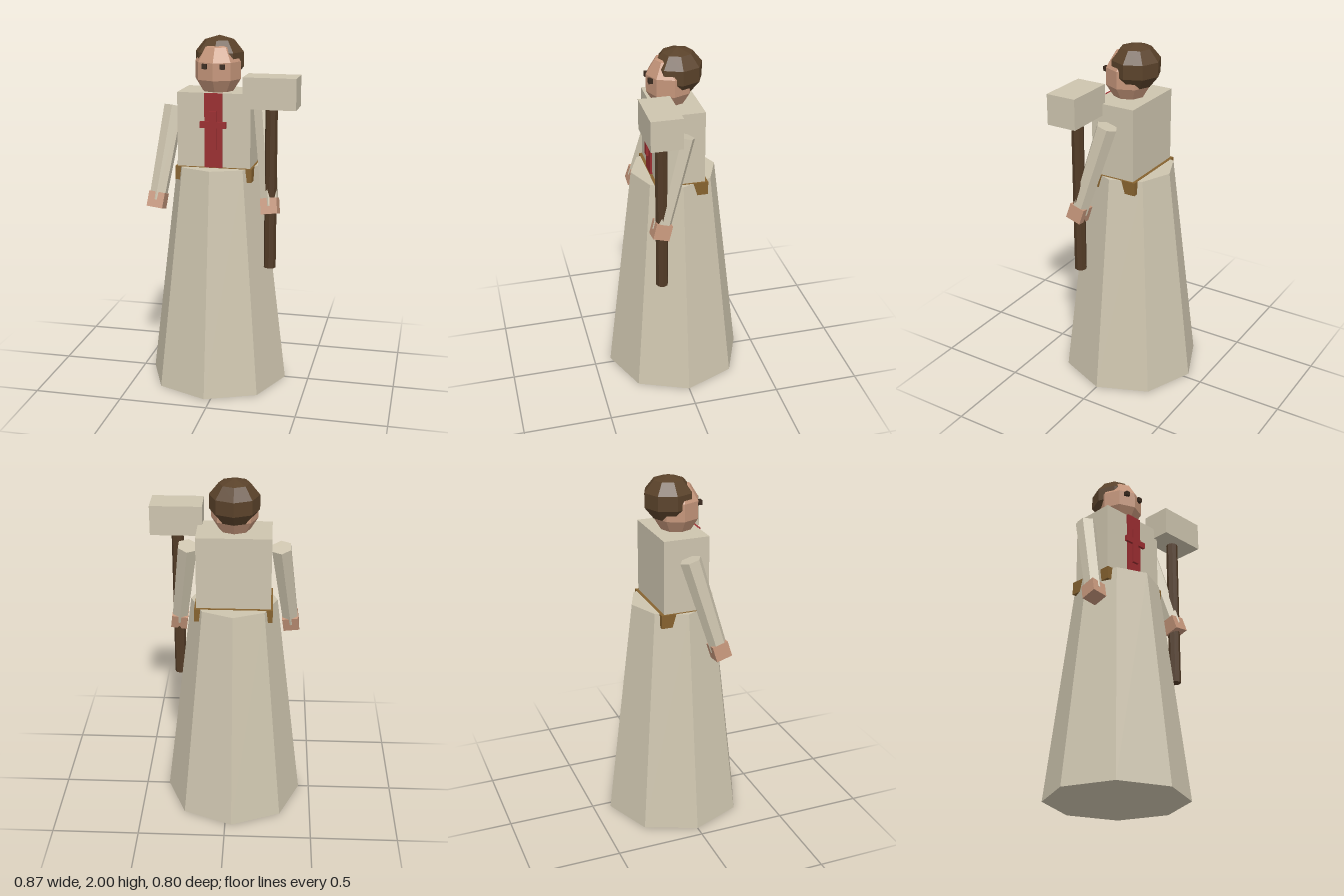
import * as THREE from 'three';

const CX = -0.037; // body centre line

export function createModel() {
  const model = new THREE.Group();
  model.name = 'robedHammerBearer';

  const paint = (name, color) => {
    const m = new THREE.MeshStandardMaterial({ color, flatShading: true });
    m.name = name;
    return m;
  };
  const cloth = paint('paleCloth', 0xcdc4ae);
  const skin = paint('skin', 0xc4957a);
  const hairBrown = paint('hairBrown', 0x5a422a);
  const wood = paint('darkWood', 0x523b26);
  const leather = paint('beltLeather', 0x86622f);
  const red = paint('red', 0x9a2d30);
  const dark = paint('eyeDark', 0x3a2a1e);

  const add = (name, geometry, material, x, y, z) => {
    const mesh = new THREE.Mesh(geometry, material);
    mesh.name = name;
    mesh.position.set(x, y, z);
    model.add(mesh);
    return mesh;
  };
  const box = (name, material, w, h, d, x, y, z) =>
    add(name, new THREE.BoxGeometry(w, h, d), material, x, y, z);

  // Robe, belt and torso
  add('skirt', new THREE.CylinderGeometry(0.243, 0.4, 1.285, 8), cloth, CX, 0.6425, 0);
  box('belt', leather, 0.434, 0.076, 0.294, CX, 1.248, 0);
  box('torso', cloth, 0.412, 0.415, 0.26, CX, 1.4925, 0);

  // Red front stripe with a raised cross
  box('stripe', red, 0.1, 0.415, 0.015, CX, 1.4925, 0.135);
  box('crossUpright', red, 0.042, 0.217, 0.017, CX, 1.495, 0.148);
  box('crossBar', red, 0.147, 0.036, 0.017, CX, 1.527, 0.1485);

  // Head, with a larger hair ball set behind it so that the face shows
  const head = add('head', new THREE.SphereGeometry(0.135, 8, 5), skin, CX, 1.815, 0.02);
  head.scale.y = 1.16;
  const hair = add('hair', new THREE.SphereGeometry(0.144, 8, 5), hairBrown, CX, 1.871, -0.025);
  hair.scale.y = 0.9;

  // Mirrored eyes, arms and hands
  const up = new THREE.Vector3(0, 1, 0);
  for (const [label, s] of [['left', 1], ['right', -1]]) {
    box(label + 'Eye', dark, 0.027, 0.027, 0.026, CX + s * 0.05, 1.844, 0.133);

    const shoulder = new THREE.Vector3(CX + s * 0.257, 1.6, 0);
    const wrist = new THREE.Vector3(CX + s * 0.323, 1.085, 0.147);
    const axis = shoulder.clone().sub(wrist);
    const mid = shoulder.clone().add(wrist).multiplyScalar(0.5);
    const arm = add(label + 'Arm', new THREE.CylinderGeometry(0.06, 0.05, axis.length(), 6),
      cloth, mid.x, mid.y, mid.z);
    arm.quaternion.setFromUnitVectors(up, axis.normalize());
    const hand = box(label + 'Hand', skin, 0.092, 0.088, 0.092, wrist.x, wrist.y, wrist.z);
    hand.quaternion.copy(arm.quaternion);
  }

  // Long hammer held upright in the left hand
  add('hammerShaft', new THREE.CylinderGeometry(0.034, 0.034, 0.95, 8), wood, 0.288, 1.205, 0.144);
  box('hammerHead', cloth, 0.29, 0.17, 0.172, 0.289, 1.72, 0.146);

  return model;
}
